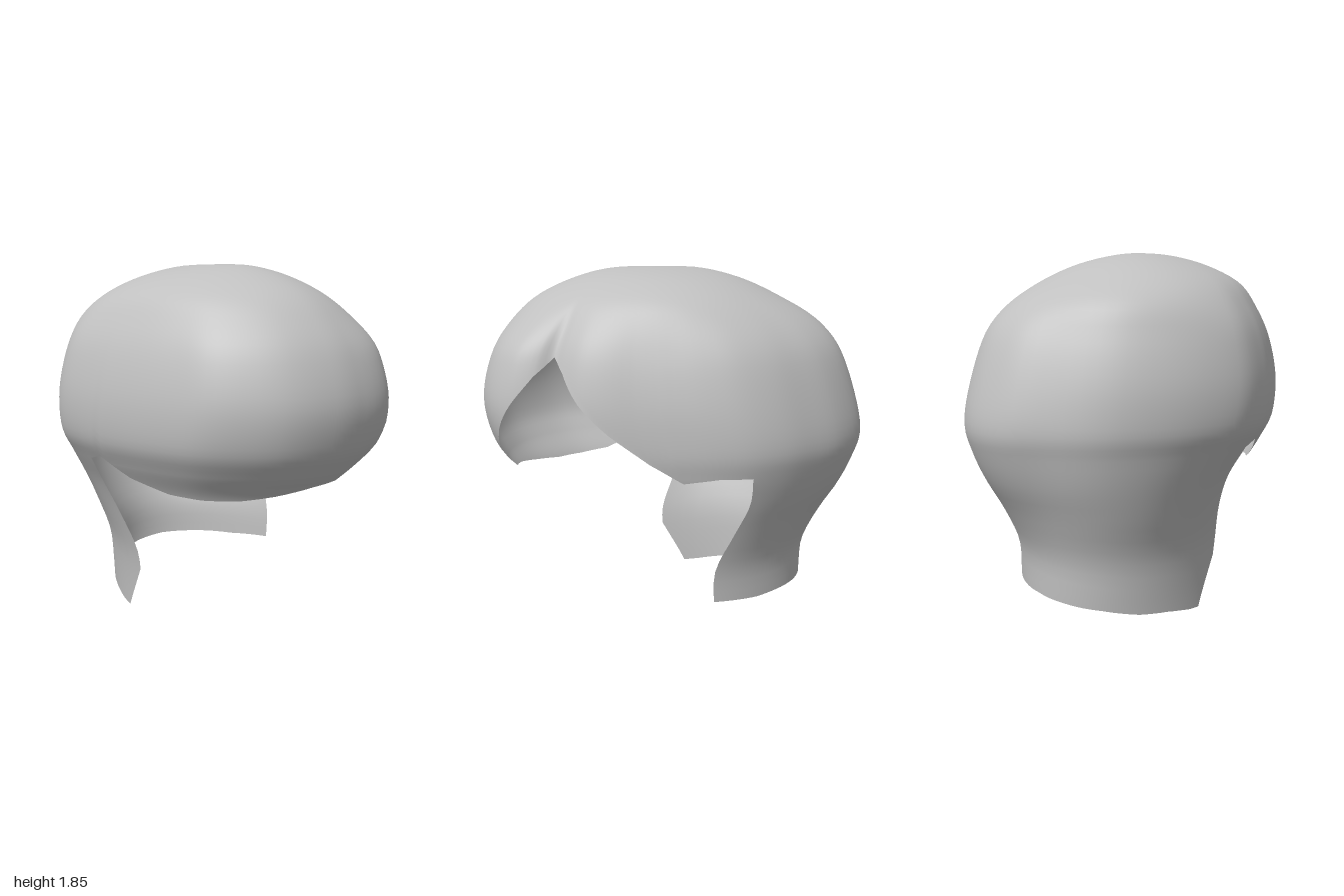
import * as THREE from 'three';
import { mergeVertices } from 'three/addons/utils/BufferGeometryUtils.js';

// Height levels from crown to nape: [y, xMin, xMax, zMin, zMax, fullness of the right back corner]
const LEVELS = [
  [1.85, -0.04, -0.04, 0.06, 0.06, 0],
  [1.842, -0.18, 0.1, -0.17, 0.31, 0.02],
  [1.79, -0.36, 0.32, -0.38, 0.52, 0.05],
  [1.7, -0.53, 0.5, -0.58, 0.71, 0.05],
  [1.58, -0.63, 0.61, -0.77, 0.84, 0.04],
  [1.42, -0.71, 0.69, -0.88, 0.94, 0.02],
  [1.2, -0.76, 0.745, -0.96, 0.995, 0],
  [1.0, -0.76, 0.765, -1.0, 0.96, -0.035],
  [0.87, -0.7, 0.745, -0.975, 0.89, -0.045],
  [0.72, -0.61, 0.7, -0.92, 0.79, -0.03],
  [0.55, -0.54, 0.65, -0.83, 0.8, 0],
  [0.35, -0.495, 0.61, -0.75, 0.88, 0],
  [0.15, -0.475, 0.6, -0.735, 0.86, 0],
  [-0.02, -0.47, 0.59, -0.72, 0.82, 0],
];

// Outline seen from above, with the height of the lower hem: [x, z, hemY]
const FRINGE = [
  [0.44, 0.68, 1.43], [0.435, 0.77, 1.34], [0.385, 0.89, 1.17], [0.24, 0.975, 0.98],
  [0, 1, 0.81], [-0.15, 0.98, 0.795], [-0.35, 0.9, 0.76], [-0.5, 0.77, 0.735],
  [-0.62, 0.6, 0.73], [-0.68, 0.4, 0.74], [-0.73, 0.15, 0.8], [-0.755, -0.04, 0.9],
];
const NAPE = [
  [-0.757, -0.15, 0.25], [-0.745, -0.32, 0], [-0.71, -0.43, 0.01], [-0.6, -0.6, 0.04],
  [-0.45, -0.75, 0.06], [-0.25, -0.88, 0.1], [0, -0.96, 0.13], [0.23, -1, 0.15],
  [0.43, -0.93, 0.155], [0.6, -0.75, 0.16], [0.69, -0.56, 0.16], [0.745, -0.4, 0.17],
  [0.765, -0.225, 0.18],
];
const SIDE = [
  [0.74, -0.05, 0.87], [0.69, 0.13, 0.845], [0.65, 0.27, 0.94], [0.61, 0.43, 1.08],
  [0.56, 0.55, 1.22], [0.49, 0.63, 1.36],
];
const OUTLINE = [...FRINGE, ...NAPE, ...SIDE];
const NAPE_START = FRINGE.length;
const NAPE_END = NAPE_START + NAPE.length - 1;
const SEAM = 0.87; // height where the nape leaves the cap
const { lerp, clamp, smoothstep } = THREE.MathUtils;

// Smooth interpolation between levels
function levelAt(t) {
  const last = LEVELS.length - 1;
  const i = Math.min(Math.floor(t), last - 1), f = t - i;
  const get = (k) => LEVELS[clamp(k, 0, last)];
  const [a, b, c, d] = [get(i - 1), get(i), get(i + 1), get(i + 2)];
  return b.map((p, k) => p + 0.5 * f * (c[k] - a[k]
    + f * (2 * a[k] - 5 * p + 4 * c[k] - d[k] + f * (3 * (p - c[k]) + d[k] - a[k]))));
}

// Level parameter that reaches a given height
function levelFor(y) {
  let lo = 0, hi = LEVELS.length - 1;
  for (let n = 0; n < 30; n++) {
    const mid = (lo + hi) / 2;
    if (levelAt(mid)[0] > y) lo = mid; else hi = mid;
  }
  return lo;
}

// Point on the hair surface: the outline eases to an oval at crown and nape,
// flattened above the parting, with the opposite back corner filled or tucked in
function surfacePoint(plan, t) {
  const [y, x0, x1, z0, z1, fullness] = levelAt(t);
  const r = Math.hypot(plan.x, plan.z);
  const diagonal = (plan.x + plan.z) / (r * Math.SQRT2);
  const parting = Math.max(0, diagonal) ** 4;
  const corner = Math.max(0, -diagonal) ** 4;
  const oval = (1 - 0.1 * parting) / r;
  const w = smoothstep(y, 0.3, 1.1) * (1 - smoothstep(y, 1.42, 1.8));
  const s = lerp(oval, 1, w) * (1 + fullness * corner);
  return [
    (x0 + x1) / 2 + (x1 - x0) / 2 * plan.x * s,
    y,
    (z0 + z1) / 2 + (z1 - z0) / 2 * plan.z * s,
  ];
}

function hairGeometry() {
  const n = OUTLINE.length, sub = 4, upper = 36, lower = 14;
  const curve = new THREE.CatmullRomCurve3(
    OUTLINE.map(([x, z]) => new THREE.Vector3(x / 0.76, 0, z)), true);

  // Columns around the head; the nape edges are doubled to form its side hems
  const columns = [];
  const addColumn = (u, nape) => {
    const i = Math.floor(u) % n;
    const hem = (k) => (!nape && k >= NAPE_START && k <= NAPE_END ? SEAM : OUTLINE[k][2]);
    columns.push({
      nape,
      plan: curve.getPoint((u / n) % 1),
      hem: lerp(hem(i), hem((i + 1) % n), u - Math.floor(u)),
    });
  };
  for (let k = 0; k <= n * sub; k++) {
    const u = k / sub;
    if (u === NAPE_START) addColumn(u, false);
    addColumn(u, u >= NAPE_START && u <= NAPE_END);
    if (u === NAPE_END) addColumn(u, false);
  }

  const positions = [], index = [], rows = upper + lower + 1;
  for (const { plan, hem } of columns) {
    const mid = levelFor(Math.max(hem, SEAM)), end = levelFor(hem);
    for (let i = 0; i < rows; i++) {
      const t = i <= upper ? mid * i / upper : lerp(mid, end, (i - upper) / lower);
      positions.push(...surfacePoint(plan, t));
    }
  }
  for (let j = 0; j < columns.length - 1; j++) {
    // The doubled columns stay open so the nape edge is free
    if (columns[j].nape !== columns[j + 1].nape) continue;
    for (let i = 0; i < rows - 1; i++) {
      const a = j * rows + i, b = a + rows;
      index.push(a, b, a + 1, b, b + 1, a + 1);
    }
  }
  let geometry = new THREE.BufferGeometry();
  geometry.setAttribute('position', new THREE.Float32BufferAttribute(positions, 3));
  geometry.setIndex(index);
  geometry = mergeVertices(geometry, 1e-4);
  geometry.computeVertexNormals();
  return geometry;
}

export function createModel() {
  const group = new THREE.Group();
  group.name = 'hairpiece';
  const grey = new THREE.MeshStandardMaterial({ color: 0xc0c0c0, side: THREE.DoubleSide });
  grey.name = 'light grey';
  const hair = new THREE.Mesh(hairGeometry(), grey);
  hair.name = 'hairShell';
  group.add(hair);
  return group;
}
